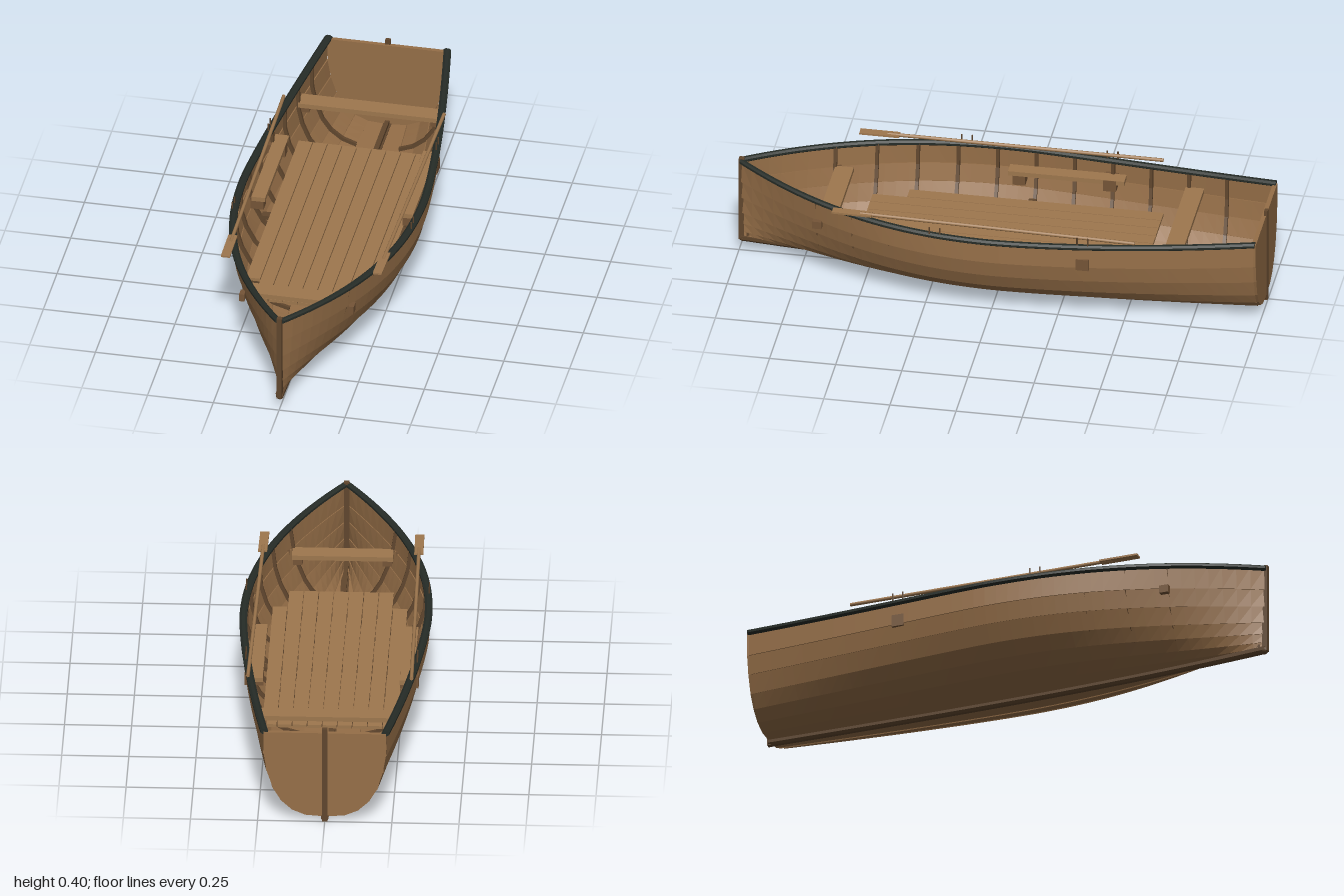
import * as THREE from 'three';
import { mergeGeometries } from 'three/addons/utils/BufferGeometryUtils.js';

const mat = (name, color, side = THREE.FrontSide) => {
  const m = new THREE.MeshStandardMaterial({ color, side });
  m.name = name;
  return m;
};

// Hull lines: half-beam, sheer height and bottom height along z
const beam = z => z > 0 ? 0.345 * (1 - Math.pow(z, 2.24)) : 0.345 - 0.12 * Math.pow(-z, 1.41);
const sheer = z => 0.343 + (z > -0.2 ? 0.047 * ((z + 0.2) / 1.2) ** 2 : 0.025 * ((z + 0.2) / 0.8) ** 2);
const bottom = z => 0.02 + 0.045 * ((z + 1) / 2) ** 3;

// Section knuckles (fraction of beam, fraction of height), keel to sheer
const PROFILE = [[0, 0], [0.32, 0.015], [0.535, 0.075], [0.71, 0.18], [0.84, 0.32], [0.94, 0.52], [0.995, 0.73], [1, 1]];

// Point on the hull section, sharpening to a V towards the bow
function hullPoint(z, i) {
  const [px, py] = PROFILE[i];
  const v = z > 0 ? 0.65 * z * z : 0;
  const x = px * (1 - v) + Math.pow(py, 0.7) * v;
  return [x * beam(z), bottom(z) + (sheer(z) - bottom(z)) * py];
}

// Half-width of the hull at a given height
function widthAt(z, y) {
  for (let i = 1; i < PROFILE.length; i++) {
    const a = hullPoint(z, i - 1), b = hullPoint(z, i);
    if (y <= b[1]) return a[0] + (b[0] - a[0]) * (y - a[1]) / (b[1] - a[1]);
  }
  return beam(z);
}

// Join rings of points into a flat-shaded skin
function loft(rings, closed = true) {
  const n = rings[0].length, index = [];
  for (let s = 0; s < rings.length - 1; s++) {
    for (let j = 0; j < (closed ? n : n - 1); j++) {
      const k = (j + 1) % n, a = s * n + j, b = s * n + k, c = b + n, d = a + n;
      index.push(a, b, c, a, c, d);
    }
  }
  if (closed) {
    const e = (rings.length - 1) * n;
    for (let j = 1; j < n - 1; j++) index.push(0, j + 1, j, e, e + j, e + j + 1);
  }
  const g = new THREE.BufferGeometry();
  g.setAttribute('position', new THREE.Float32BufferAttribute(rings.flat(2), 3));
  g.setIndex(index);
  const flat = g.toNonIndexed();
  flat.computeVertexNormals();
  return flat;
}

// Mirror across x = 0 with corrected corner order
function mirrored(geo) {
  const g = geo.index ? geo.toNonIndexed() : geo.clone();
  g.scale(-1, 1, 1);
  for (const at of Object.values(g.attributes)) {
    const s = at.itemSize, a = at.array;
    for (let t = 0; t < at.count; t += 3) {
      for (let k = 0; k < s; k++) {
        const p = (t + 1) * s + k, q = (t + 2) * s + k, tmp = a[p];
        a[p] = a[q];
        a[q] = tmp;
      }
    }
  }
  return g;
}

const range = (a, b, n) => Array.from({ length: n + 1 }, (_, i) => a + (b - a) * i / n);
const box = (w, h, d, x, y, z) => new THREE.BoxGeometry(w, h, d).translate(x, y, z);

export function createModel() {
  const boat = new THREE.Group();
  boat.name = 'rowingBoat';
  const plankWood = mat('plankWood', 0x966f48, THREE.DoubleSide);
  const deckWood = mat('deckWood', 0x9e774e);
  const frameWood = mat('frameWood', 0x60462d);
  const blockWood = mat('blockWood', 0x755537);
  const railPaint = mat('railPaint', 0x262c27);

  const add = (name, geo, m) => {
    const mesh = new THREE.Mesh(geo, m);
    mesh.name = name;
    boat.add(mesh);
  };
  const addPair = (name, geo, m) => {
    add(name + 'Left', geo, m);
    add(name + 'Right', mirrored(geo), m);
  };

  // Overlapping planks: each lower edge stands proud of the plank below
  const stations = range(-0.985, 0.99, 44);
  const strakes = range(1, 7, 6).map(i => loft(stations.map(z => {
    const [x0, y0] = hullPoint(z, i - 1), [x1, y1] = hullPoint(z, i);
    const len = Math.hypot(x1 - x0, y1 - y0) || 1;
    const lap = i > 1 ? 0.004 : 0;
    return [[x0, y0, z], [x0 + lap * (y1 - y0) / len, y0 - lap * (x1 - x0) / len, z], [x1, y1, z]];
  }), false));
  addPair('hullPlanks', mergeGeometries(strakes), plankWood);

  // Transom
  const half = PROFILE.map((_, i) => hullPoint(-0.98, i));
  const outline = [...half, ...half.slice(1).reverse().map(([x, y]) => [-x, y])];
  const transom = new THREE.ExtrudeGeometry(
    new THREE.Shape(outline.map(p => new THREE.Vector2(...p))), { depth: 0.016, bevelEnabled: false });
  add('transom', transom.translate(0, 0, -0.994), plankWood);

  // Stem with rounded foot, stern post, keel and keelson
  add('stem', box(0.02, 0.35, 0.02, 0, 0.227, 0.99), frameWood);
  add('stemFoot', new THREE.SphereGeometry(0.015, 12, 8).translate(0, 0.057, 0.985), frameWood);
  add('sternPost', box(0.02, 0.385, 0.014, 0, 0.194, -0.993), frameWood);
  const keelRing = z => [[0.015, 0.004], [-0.015, 0.004], [-0.014, -0.01], [-0.007, -0.019], [0.007, -0.019], [0.014, -0.01]]
    .map(([x, y]) => [x, bottom(z) + y, z]);
  add('keel', loft(range(-0.995, 0.99, 30).map(keelRing)), frameWood);
  add('keelson', loft(range(-0.975, 0.97, 30).map(z =>
    [[0.008, 0], [0.008, 0.018], [-0.008, 0.018], [-0.008, 0]].map(([x, y]) => [x, bottom(z) + y, z]))), frameWood);

  // Gunwale rail
  addPair('gunwale', loft(range(-0.99, 0.995, 50).map(z => range(0, 7, 7).map(k => {
    const a = (k + 0.5) * Math.PI / 4;
    return [beam(z) - 0.001 + 0.0155 * Math.cos(a), sheer(z) + 0.011 * Math.sin(a), z];
  }))), railPaint);

  // Ribs lying against the inside of the planking
  const ribs = range(-0.8, 0.67, 10).map(z => loft(range(1, 7, 6).map(i => {
    const [x, y] = hullPoint(z, i), [xa, ya] = hullPoint(z, i - 1), [xb, yb] = hullPoint(z, Math.min(i + 1, 7));
    const len = Math.hypot(xb - xa, yb - ya), nx = (ya - yb) / len, ny = (xb - xa) / len;
    const at = (d, w) => [x + nx * d, y + ny * d, z + w];
    return [at(0.001, 0.0065), at(0.001, -0.0065), at(0.014, -0.0065), at(0.014, 0.0065)];
  })));
  addPair('ribs', mergeGeometries(ribs), frameWood);

  // Floor boards, the outer ones cut short at the narrowing hull
  const floorY = 0.172;
  const boards = range(-4, 4, 8).map(k => {
    const x = k * 0.056, edge = Math.abs(x) + 0.027;
    let front = 0.53, back = -0.56;
    while (widthAt(front, floorY) < edge + 0.006) front -= 0.01;
    while (widthAt(back, floorY) < edge + 0.006) back += 0.01;
    return box(0.053, 0.012, front - back, x, floorY, (front + back) / 2);
  });
  add('floorBoards', mergeGeometries(boards), deckWood);
  add('floorBearers', mergeGeometries([-0.5, -0.06, 0.375].map(z =>
    box(2 * widthAt(z, 0.15) - 0.03, 0.016, 0.03, 0, floorY - 0.014, z))), frameWood);

  // Cross seats with end blocks
  for (const [name, z] of [['bowSeat', 0.635], ['sternSeat', -0.675]]) {
    const w = widthAt(z + Math.sign(z) * 0.035, 0.268);
    add(name, box(2 * w, 0.018, 0.07, 0, 0.28, z), deckWood);
    addPair(name + 'Block', box(0.035, 0.03, 0.035, w - 0.022, 0.257, z), blockWood);
  }
  addPair('bowSeatPad', box(0.02, 0.03, 0.035, 0.208, 0.271, 0.667), blockWood);

  // Side benches on brackets, the aft one passing through the planking
  addPair('sideBench', box(0.052, 0.018, 0.44, 0.281, 0.285, -0.19), deckWood);
  addPair('benchBracket', mergeGeometries([
    box(0.07, 0.046, 0.048, 0.289, 0.27, -0.355),
    box(0.05, 0.046, 0.048, 0.289, 0.255, -0.01),
  ]), blockWood);

  // Thole pins, one pair per rowing station
  addPair('tholePins', mergeGeometries([[0.34, 0.2], [0.319, -0.355]].flatMap(([x, z]) => [-0.02, 0.02].map(d =>
    new THREE.CylinderGeometry(0.003, 0.003, 0.04, 6).translate(x, 0.364, z + d)))), frameWood);

  // Oars laid along the rails, slightly splayed towards the stern
  const shaft = new THREE.CylinderGeometry(0.007, 0.007, 1.04, 8).rotateX(Math.PI / 2).translate(0, 0, -0.03);
  const blade = box(0.034, 0.007, 0.15, 0, 0, 0.52);
  addPair('oar', mergeGeometries([shaft, blade])
    .rotateX(-0.011).rotateY(-0.014).translate(0.297, 0.38, 0), deckWood);

  return boat;
}
